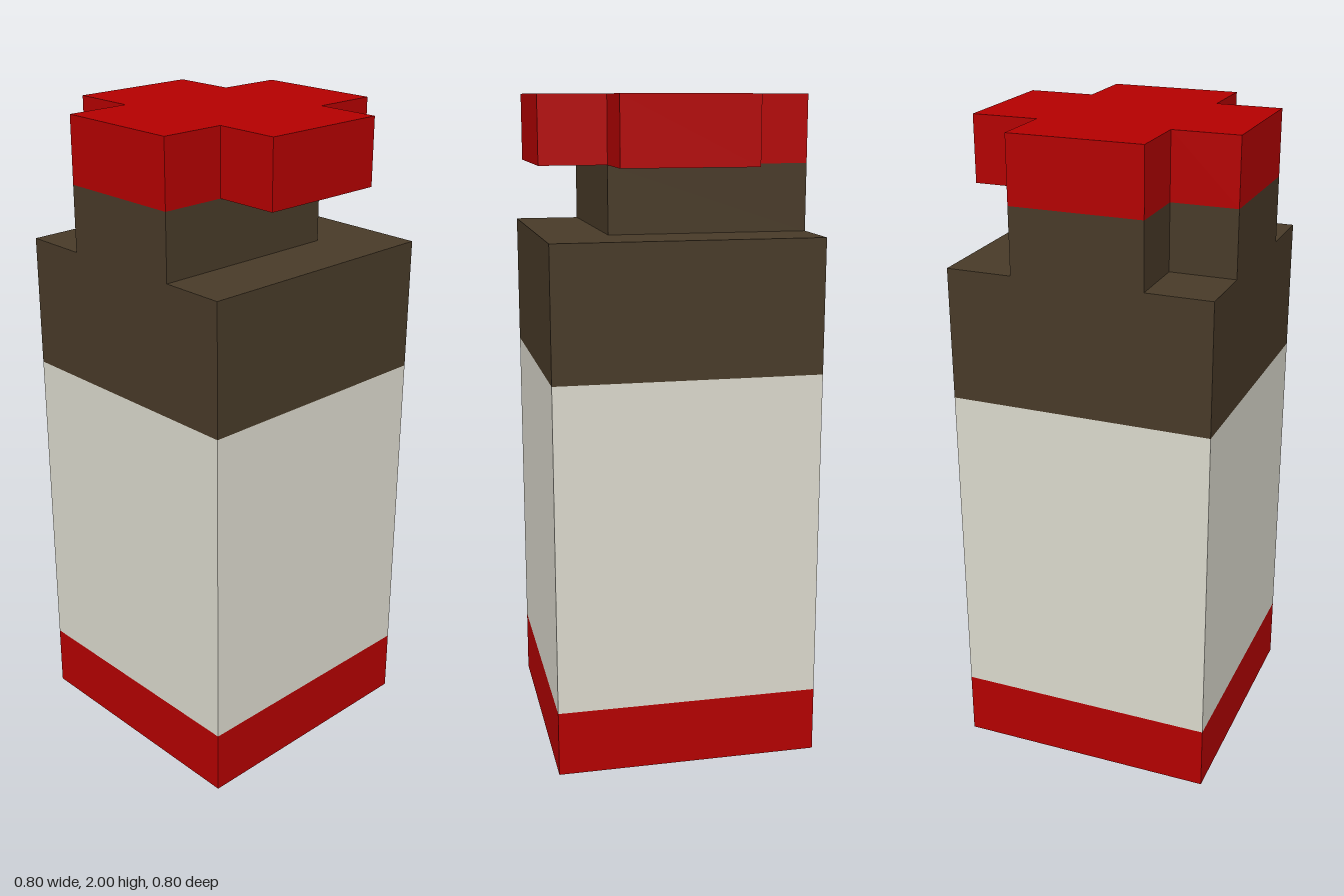
import * as THREE from 'three';

const red = new THREE.MeshStandardMaterial({ name: 'red', color: 0xb40000 });
const brown = new THREE.MeshStandardMaterial({ name: 'dark brown', color: 0x483a28 });
const cream = new THREE.MeshStandardMaterial({ name: 'pale grey', color: 0xdbd9cd });

// Extrudes a floor-plan outline of [x, z] points upward from y0 to y1
function slab(name, plan, y0, y1, material) {
  const shape = new THREE.Shape(plan.map(([x, z]) => new THREE.Vector2(x, -z)));
  const geometry = new THREE.ExtrudeGeometry(shape, { depth: y1 - y0, bevelEnabled: false });
  geometry.rotateX(-Math.PI / 2).translate(0, y0, 0);
  const mesh = new THREE.Mesh(geometry, material);
  mesh.name = name;
  return mesh;
}

export function createModel() {
  const model = new THREE.Group();
  model.name = 'bottle';
  const o = 0.4, i = 0.2;

  const square = [[-o, o], [o, o], [o, -o], [-o, -o]];
  const cross = [
    [-i, o], [i, o], [i, i], [o, i], [o, -i], [i, -i],
    [i, -o], [-i, -o], [-i, -i], [-o, -i], [-o, i], [-i, i],
  ];
  // The neck has only the back and -x arms of the cross
  const neck = [[-o, i], [i, i], [i, -o], [-i, -o], [-i, -i], [-o, -i]];

  model.add(
    slab('base', square, 0, 0.2, red),
    slab('body', square, 0.2, 1.2, cream),
    slab('shoulder', square, 1.2, 1.6, brown),
    slab('neck', neck, 1.6, 1.8, brown),
    slab('cap', cross, 1.8, 2, red),
  );
  return model;
}
